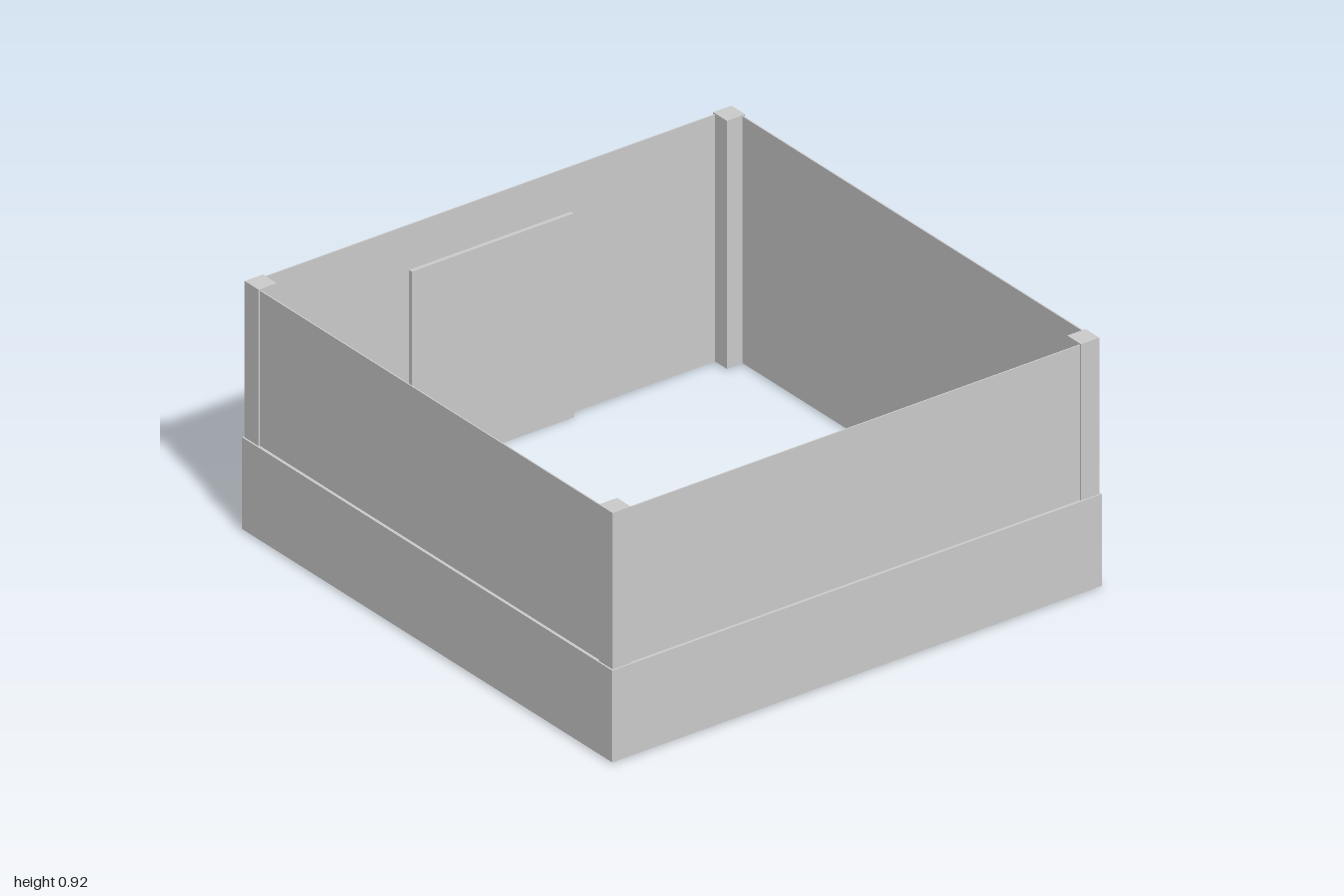
import * as THREE from 'three';

const grey = new THREE.MeshStandardMaterial({ color: 0xcccccc, flatShading: true });

// Box given by its minimum and maximum corners
function slab(parent, name, x0, x1, y0, y1, z0, z1) {
  const mesh = new THREE.Mesh(new THREE.BoxGeometry(x1 - x0, y1 - y0, z1 - z0), grey);
  mesh.position.set((x0 + x1) / 2, (y0 + y1) / 2, (z0 + z1) / 2);
  mesh.name = name;
  parent.add(mesh);
  return mesh;
}

export function createModel() {
  const model = new THREE.Group();
  model.name = 'rooflessRoom';

  const base = 0.008, top = 0.915, dado = 0.345;

  // Room shell, set slightly forward of the door side
  const room = new THREE.Group();
  room.name = 'room';
  room.position.z = 0.0075;
  model.add(room);

  const wall = 0.981, inner = 0.976, skirt = 0.9925, post = 0.986;
  for (const s of [-1, 1]) {
    const span = (a, b) => (s > 0 ? [a, b] : [-b, -a]);
    // Thin upper walls
    slab(room, 'sideWall', ...span(inner, wall), base, top, -wall, wall);
    slab(room, s > 0 ? 'frontWall' : 'backWall', -inner, inner, base, top, ...span(inner, wall));
    // Lower cladding on the sides
    slab(room, 'sideCladding', ...span(wall, skirt), base, dado, -skirt, skirt);
    // Corner pillars
    for (const t of [-1, 1]) {
      const z = t > 0 ? [post - 0.074, post] : [-post, -post + 0.074];
      slab(room, 'cornerPillar', ...span(post - 0.074, post), base, 0.92, ...z);
    }
    // Back cladding stops at the doorway
    slab(room, 'backCladding', ...span(0.335, wall), base, dado, -skirt, -wall);
  }
  slab(room, 'frontCladding', -wall, wall, base, dado, wall, skirt);

  // Doorway in the back wall
  const door = new THREE.Group();
  door.name = 'doorway';
  model.add(door);
  const face = -0.9735;

  slab(door, 'innerDoorPanel', -0.328, 0.328, 0, 0.75, -0.972, -0.953);
  slab(door, 'sill', -0.328, 0.328, 0, 0.012, -0.988, -0.953);
  slab(door, 'headerBar', -0.355, 0.355, 0.722, 0.742, -0.998, face);
  slab(door, 'headerCap', -0.355, 0.355, 0.742, 0.75, -0.988, face);

  // Uprights beside and between the leaves
  for (const x of [-0.335, 0.335]) {
    slab(door, 'jamb', x - 0.012, x + 0.012, 0.004, dado, -0.996, face);
    slab(door, 'upperJamb', x - 0.006, x + 0.006, dado, 0.722, -0.981, face);
  }
  slab(door, 'centrePost', -0.014, 0.014, 0.004, 0.5, -0.996, face);

  for (const s of [-1, 1]) {
    // Door leaf: raised lower panel with rails
    const c = s * 0.168;
    slab(door, 'lowerPanel', c - 0.135, c + 0.135, 0.03, 0.3, -0.979, face);
    slab(door, 'bottomRail', c - 0.15, c + 0.15, 0.012, 0.026, -0.982, face);
    // Hanging panes above each leaf
    for (const k of [-1, 1]) {
      const px = c + k * 0.079;
      slab(door, 'upperPane', px - 0.076, px + 0.076, 0.49, 0.722, k * s > 0 ? -0.985 : -0.989, face);
    }
    slab(door, 'paneStrip', c - 0.004, c + 0.004, 0.53, 0.722, -0.994, face);
    // Battens on the back cladding
    slab(model, 'batten', s * 0.69 - 0.01, s * 0.69 + 0.01, base, dado, -1, -0.984);
  }
  return model;
}
